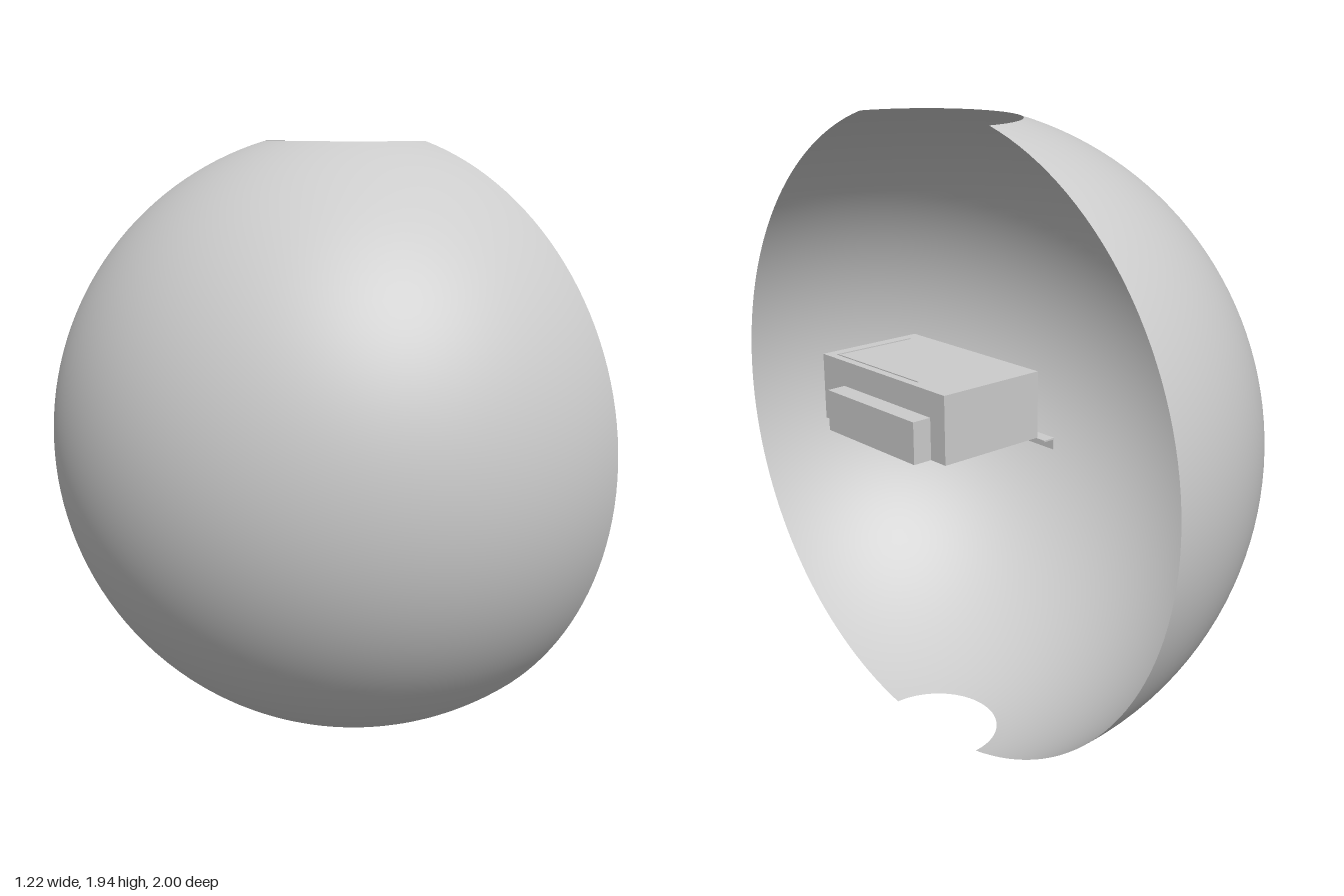
import * as THREE from 'three';

const grey = new THREE.MeshStandardMaterial({ color: 0xcccccc });
const greyThin = new THREE.MeshStandardMaterial({ color: 0xcccccc, side: THREE.DoubleSide });

// Box given by its limits on each axis
function block(name, [x0, x1], [y0, y1], [z0, z1]) {
  const mesh = new THREE.Mesh(new THREE.BoxGeometry(x1 - x0, y1 - y0, z1 - z0), grey);
  mesh.position.set((x0 + x1) / 2, (y0 + y1) / 2, (z0 + z1) / 2);
  mesh.name = name;
  return mesh;
}

export function createModel() {
  const model = new THREE.Group();
  model.name = 'domeWithDevice';

  // Half-sphere shell, open toward +x, with a round hole at each pole
  const bottomAngle = Math.asin(0.2), topAngle = Math.PI - Math.asin(0.288);
  const profile = [];
  for (let i = 0; i <= 64; i++) {
    const a = bottomAngle + (topAngle - bottomAngle) * i / 64;
    profile.push(new THREE.Vector2(Math.sin(a), -Math.cos(a)));
  }
  const shell = new THREE.Mesh(new THREE.LatheGeometry(profile, 96, Math.PI, Math.PI), greyThin);
  shell.name = 'domeShell';
  shell.scale.x = 0.99;
  shell.position.set(0.38, 0.98, 0);
  model.add(shell);

  // Device at the middle of the dome
  const device = new THREE.Group();
  device.name = 'device';
  device.add(
    block('housing', [0.2, 0.55], [1.025, 1.228], [-0.288, 0.288]),
    block('frontBlock', [0.55, 0.61], [1.025, 1.15], [-0.225, 0.183]),
    block('sideTab', [0.415, 0.46], [1.025, 1.14], [0.288, 0.298]),
    // Angle strip along the back lower edge
    block('flangeTop', [0.165, 0.205], [1.02, 1.025], [-0.322, 0.325]),
    block('flangeLip', [0.165, 0.17], [0.99, 1.02], [-0.322, 0.325]),
    // Fine raised lines on the lid
    block('lidLineSide', [0.25, 0.525], [1.228, 1.231], [0.246, 0.25]),
    block('lidLineFront', [0.521, 0.525], [1.228, 1.231], [-0.14, 0.246])
  );

  // Small stud on the front face
  const stud = new THREE.Mesh(new THREE.CylinderGeometry(0.006, 0.006, 0.006, 12), grey);
  stud.name = 'stud';
  stud.rotation.z = Math.PI / 2;
  stud.position.set(0.552, 1.105, 0.247);
  device.add(stud);

  model.add(device);
  return model;
}
